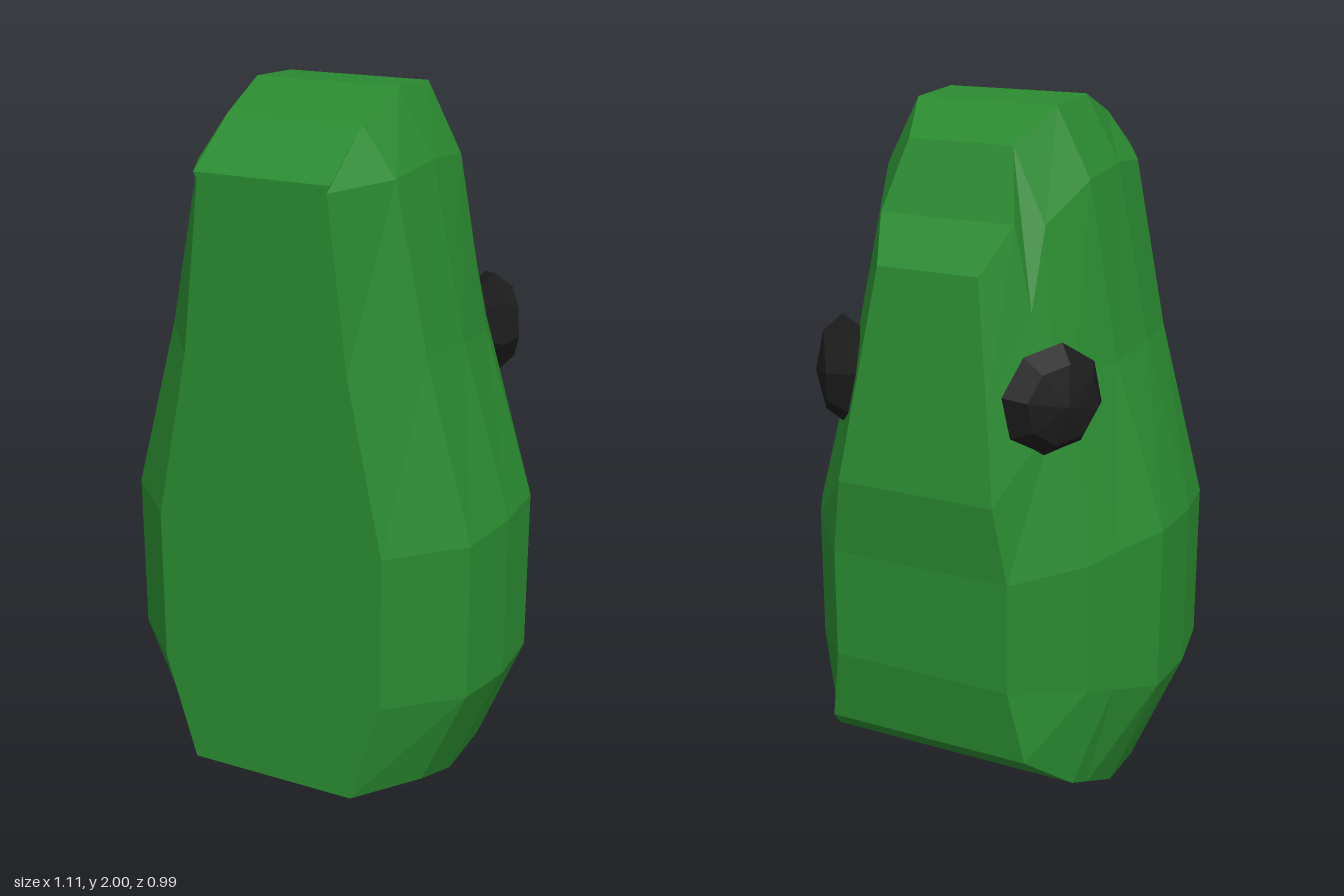
import * as THREE from 'three';

// Half outlines [x, y, z] from bottom to top, one per slice, front to back
const slice = (z, ...pts) => pts.map(([x, y]) => [x, y, z]);
const SLICES = [
  slice(0.5, [0.25, 0.07], [0.34, 0.38], [0.34, 0.83], [0.24, 1.32], [0.185, 1.79], [0.195, 1.81]),
  slice(0.32, [0.39, 0.07], [0.52, 0.37], [0.52, 0.83], [0.385, 1.33], [0.29, 1.8], [0.195, 1.93]),
  slice(0.13, [0.4, 0], [0.555, 0.36], [0.555, 0.84], [0.41, 1.33], [0.31, 1.82], [0.21, 2]),
  slice(-0.06, [0.41, 0.015], [0.55, 0.36], [0.55, 0.84], [0.4, 1.31], [0.31, 1.8], [0.21, 1.99]),
  slice(-0.21, [0.4, 0.085], [0.475, 0.4], [0.475, 0.82], [0.34, 1.31], [0.25, 1.7], [0.155, 1.9]),
  slice(-0.29, [0.39, 0.12], [0.43, 0.42], [0.43, 0.8], [0.32, 1.2], [0.25, 1.48], [0.2, 1.71]),
  // The rear outline follows the curved back
  [[0.31, 0.24, -0.44], [0.27, 0.46, -0.47], [0.27, 0.78, -0.47],
    [0.235, 1.0, -0.49], [0.2, 1.25, -0.45], [0.15, 1.59, -0.4]],
];

// Joins the mirrored outlines into a closed faceted shell
function loft(slices) {
  const rings = slices.map((half) => [
    ...half, ...half.map(([x, y, z]) => [-x, y, z]).reverse(),
  ]);
  const n = rings[0].length;
  const pos = [];
  const quad = (a, b, c, d) => pos.push(...a, ...b, ...c, ...a, ...c, ...d);
  for (let i = 0; i < rings.length - 1; i++) {
    for (let j = 0; j < n; j++) {
      const k = (j + 1) % n;
      quad(rings[i][j], rings[i + 1][j], rings[i + 1][k], rings[i][k]);
    }
  }
  // Flat front and stepped back
  const f = rings[0], b = rings[rings.length - 1];
  for (let j = 0; j < n / 2 - 1; j++) {
    quad(f[j], f[j + 1], f[n - 2 - j], f[n - 1 - j]);
    quad(b[n - 1 - j], b[n - 2 - j], b[j + 1], b[j]);
  }
  const geo = new THREE.BufferGeometry();
  geo.setAttribute('position', new THREE.Float32BufferAttribute(pos, 3));
  geo.computeVertexNormals();
  return geo;
}

export function createModel() {
  const group = new THREE.Group();
  const green = new THREE.MeshStandardMaterial({ color: 0x2a8a30, flatShading: true });
  const black = new THREE.MeshStandardMaterial({ color: 0x1c1c1c, flatShading: true });

  const head = new THREE.Mesh(loft(SLICES), green);
  head.name = 'head';
  group.add(head);

  // Flattened faceted eyes, facing outward and back
  for (const side of [1, -1]) {
    const eye = new THREE.Mesh(new THREE.SphereGeometry(0.155, 8, 4), black);
    eye.name = side > 0 ? 'leftEye' : 'rightEye';
    eye.scale.set(1, 0.52, 1);
    eye.position.set(side * 0.32, 1.26, -0.305);
    const outward = new THREE.Vector3(side * 0.82, 0, -0.57).normalize();
    eye.quaternion.setFromUnitVectors(new THREE.Vector3(0, 1, 0), outward);
    group.add(eye);
  }
  return group;
}
